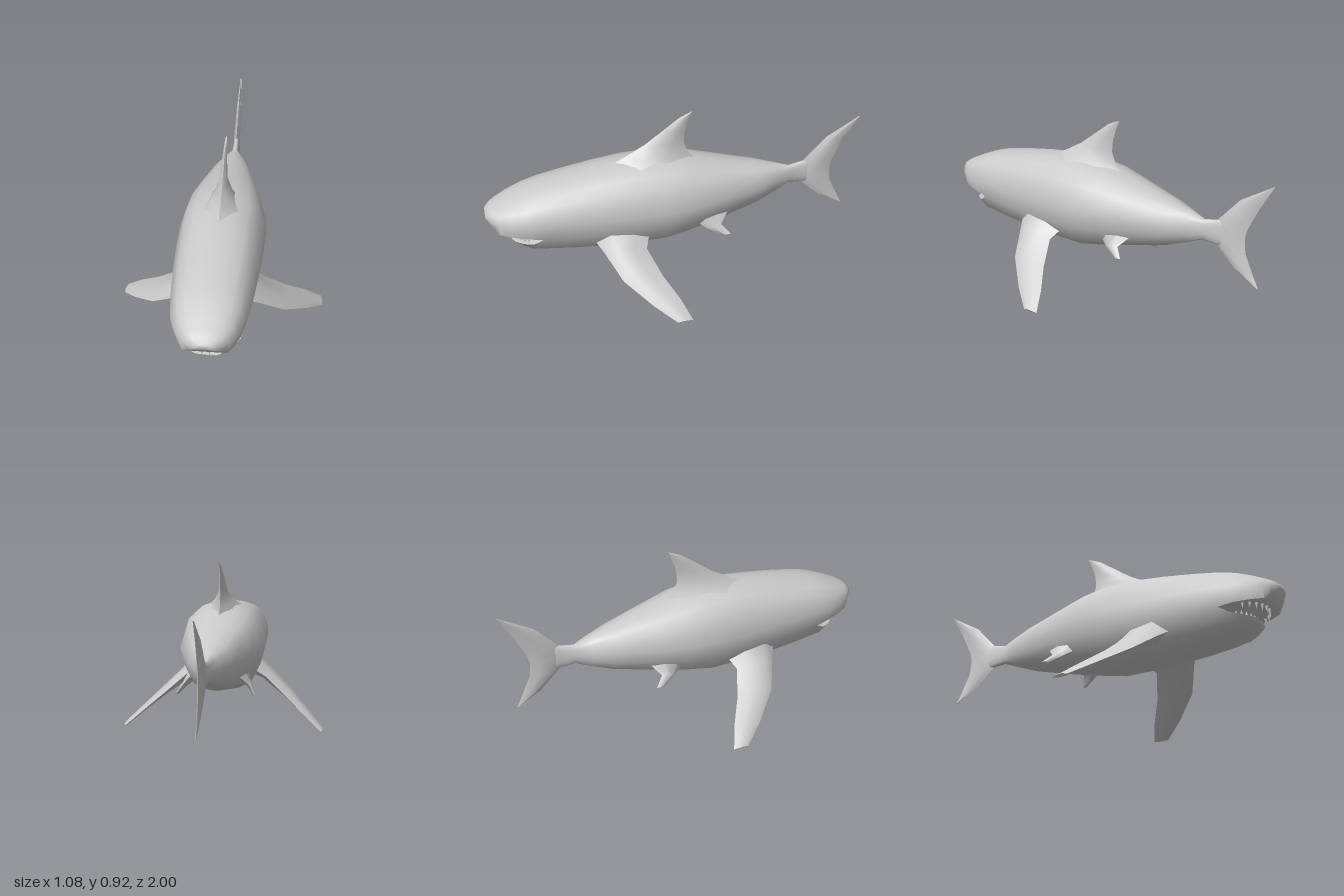
import * as THREE from 'three';
import { mergeGeometries, toCreasedNormals } from 'three/addons/utils/BufferGeometryUtils.js';

const material = new THREE.MeshStandardMaterial({ color: 0xcccccc });

// Skin closed rings of [x, y, z] points, optionally capped; faces are turned outward
function loft(rings, capStart = true, capEnd = true) {
  const n = rings[0].length;
  const pos = rings.flat(2);
  const idx = [];
  for (let i = 0; i < rings.length - 1; i++) {
    for (let j = 0; j < n; j++) {
      const a = i * n + j, b = i * n + (j + 1) % n;
      idx.push(a, b, a + n, b, b + n, a + n);
    }
  }
  const cap = (r, flip) => {
    const c = pos.length / 3;
    for (let k = 0; k < 3; k++) pos.push(rings[r].reduce((s, p) => s + p[k], 0) / n);
    for (let j = 0; j < n; j++) {
      const a = r * n + j, b = r * n + (j + 1) % n;
      idx.push(c, flip ? b : a, flip ? a : b);
    }
  };
  if (capStart) cap(0, true);
  if (capEnd) cap(rings.length - 1, false);

  const at = i => new THREE.Vector3().fromArray(pos, i * 3);
  let volume = 0;
  for (let i = 0; i < idx.length; i += 3) volume += at(idx[i]).dot(at(idx[i + 1]).cross(at(idx[i + 2])));
  if (volume < 0) idx.reverse();

  const geo = new THREE.BufferGeometry();
  geo.setAttribute('position', new THREE.Float32BufferAttribute(pos, 3));
  geo.setIndex(idx);
  return geo;
}

// Mirror a half outline (top centre, down the left side, bottom centre) into a full ring
function fullRing(half, z) {
  const other = half.slice(1, -1).reverse().map(([x, y]) => [-x, y]);
  return [...half, ...other].map(([x, y]) => [x, y, z]);
}

const upperSide = (top, mid, w) =>
  [[0, 1], [0.3, 0.96], [0.6, 0.84], [0.82, 0.62], [1, 0]].map(([u, v]) => [u * w, mid + v * (top - mid)]);
const lowerSide = (lip, bottom, w) =>
  [[0.88, 0], [0.68, 0.62], [0.4, 0.88], [0, 1]].map(([u, v]) => [u * w, lip - v * (lip - bottom)]);

function bodyGeometry() {
  // Trunk: z, top, widest height, bottom, half width
  const trunk = [
    [0.72, 0.6, 0.46, 0.235, 0.19], [0.58, 0.628, 0.463, 0.22, 0.203], [0.42, 0.655, 0.465, 0.209, 0.215],
    [0.27, 0.675, 0.465, 0.207, 0.222], [0.09, 0.68, 0.465, 0.209, 0.226], [-0.05, 0.662, 0.465, 0.24, 0.21],
    [-0.2, 0.625, 0.465, 0.275, 0.175], [-0.43, 0.572, 0.465, 0.335, 0.11], [-0.54, 0.544, 0.465, 0.378, 0.064],
    [-0.62, 0.52, 0.465, 0.412, 0.022], [-0.7, 0.538, 0.465, 0.406, 0.018], [-0.75, 0.54, 0.465, 0.406, 0.012],
  ].map(([z, top, mid, bottom, w]) =>
    fullRing([...upperSide(top, mid, w), ...lowerSide(mid - 0.42 * (mid - bottom), bottom, w)], z));

  // Snout and palate: z, top, widest height, lip height, half width
  const snout = [
    [0.995, 0.482, 0.464, 0.455, 0.045], [0.965, 0.503, 0.46, 0.422, 0.09], [0.935, 0.517, 0.455, 0.388, 0.118],
    [0.88, 0.543, 0.453, 0.383, 0.15], [0.8, 0.576, 0.455, 0.377, 0.178], [0.72, 0.6, 0.46, 0.3655, 0.19],
  ].map(([z, top, mid, lip, w]) =>
    fullRing([...upperSide(top, mid, w), [0.88 * w, lip], [0.5 * w, lip], [0, lip]], z));

  // Lower jaw: z, lip height, bottom, half width
  const jaw = [
    [0.875, 0.316, 0.308, 0.06], [0.855, 0.319, 0.293, 0.1], [0.82, 0.324, 0.274, 0.138],
    [0.77, 0.334, 0.25, 0.172], [0.72, 0.3655, 0.235, 0.19],
  ].map(([z, lip, bottom, w]) =>
    fullRing([[0, lip], [0.5 * w, lip], ...lowerSide(lip, bottom, w)], z));

  const parts = [loft(trunk, false, true), loft(snout, true, false), loft(jaw, true, false)];
  return toCreasedNormals(mergeGeometries(parts), 1.0);
}

// Lens-shaped fin; each section is [leading point, trailing point, half thickness]
function finGeometry(sections, normal, side = 1) {
  const profile = [[0, 0], [0.28, 1], [0.68, 0.75], [1, 0], [0.68, -0.75], [0.28, -1]];
  const rings = sections.map(([lead, trail, h]) => profile.map(([t, s]) =>
    lead.map((v, k) => (v + (trail[k] - v) * t + normal[k] * s * h) * (k === 0 ? side : 1))));
  return toCreasedNormals(loft(rings), 1.0);
}

export function createModel() {
  const group = new THREE.Group();
  const add = (name, geo, parent = group) => {
    const mesh = new THREE.Mesh(geo, material);
    mesh.name = name;
    parent.add(mesh);
    return mesh;
  };

  add('body', bodyGeometry());

  add('dorsalFin', finGeometry([
    [[0, 0.655, 0.34], [0, 0.63, -0.11], 0.1],
    [[0, 0.695, 0.265], [0, 0.685, -0.068], 0.056],
    [[0, 0.755, 0.16], [0, 0.745, -0.045], 0.022],
    [[0, 0.83, 0.06], [0, 0.81, -0.05], 0.015],
    [[0, 0.89, -0.02], [0, 0.865, -0.068], 0.009],
    [[0, 0.918, -0.08], [0, 0.92, -0.092], 0.003],
  ], [1, 0, 0]));

  add('tailFin', finGeometry([
    [[0, 0.237, -0.932], [0, 0.235, -0.94], 0.003],
    [[0, 0.3, -0.81], [0, 0.315, -0.9], 0.008],
    [[0, 0.405, -0.7], [0, 0.4, -0.86], 0.016],
    [[0, 0.47, -0.68], [0, 0.48, -0.853], 0.018],
    [[0, 0.54, -0.7], [0, 0.53, -0.866], 0.017],
    [[0, 0.67, -0.82], [0, 0.65, -0.925], 0.011],
    [[0, 0.772, -0.99], [0, 0.775, -1], 0.003],
  ], [1, 0, 0]));

  // Paired fins
  for (const [label, side] of [['left', 1], ['right', -1]]) {
    add(label + 'PectoralFin', finGeometry([
      [[0.13, 0.32, 0.47], [0.13, 0.33, 0.16], 0.07],
      [[0.21, 0.265, 0.42], [0.22, 0.265, 0.2], 0.038],
      [[0.34, 0.165, 0.345], [0.34, 0.165, 0.14], 0.023],
      [[0.46, 0.072, 0.21], [0.44, 0.085, 0.072], 0.014],
      [[0.535, 0.01, 0.105], [0.53, 0.01, 0.025], 0.009],
    ], [0.65, 0.76, 0], side));

    add(label + 'PelvicFin', finGeometry([
      [[0.11, 0.36, -0.03], [0.11, 0.38, -0.27], 0.04],
      [[0.165, 0.3, -0.135], [0.165, 0.315, -0.21], 0.016],
      [[0.195, 0.262, -0.215], [0.2, 0.27, -0.255], 0.007],
    ], [0.76, 0.65, 0], side));
  }

  // Teeth along both jaws
  const tooth = new THREE.ConeGeometry(0.01, 0.036, 5).toNonIndexed();
  tooth.computeVertexNormals();
  const teeth = new THREE.Group();
  teeth.name = 'teeth';
  group.add(teeth);
  const count = 10;
  for (let i = 0; i < count; i++) {
    const a = (i / (count - 1) - 0.5) * 2.5;
    const upper = add('upperTooth', tooth, teeth);
    upper.position.set(0.128 * Math.sin(a), 0.369, 0.79 + 0.125 * Math.cos(a));
    upper.rotation.x = Math.PI;
    const lower = add('lowerTooth', tooth, teeth);
    lower.position.set(0.118 * Math.sin(a), 0.338, 0.765 + 0.085 * Math.cos(a));
  }
  return group;
}
